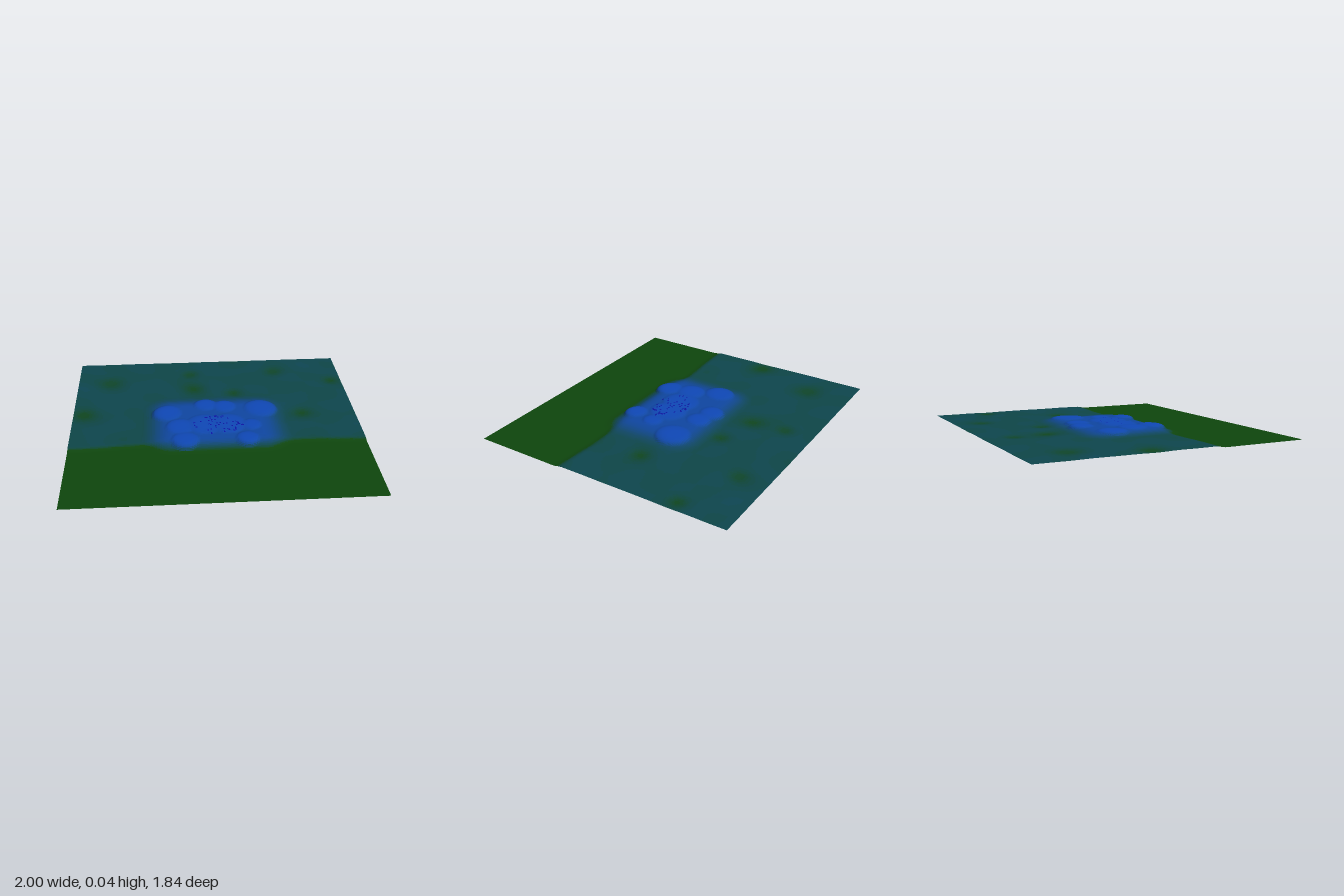
import * as THREE from 'three';

const NX = 180, NZ = 166, W = 2, D = 1.84;
const smooth = THREE.MathUtils.smoothstep;

// Rounded knolls on the hill: x, z, radius
const KNOLLS = [
  [-0.34, -0.1, 0.105], [-0.06, -0.2, 0.085], [0.07, -0.17, 0.085], [0.33, -0.13, 0.12],
  [-0.25, 0.09, 0.1], [-0.22, 0.26, 0.095], [0.2, 0.26, 0.08], [0.24, 0.09, 0.07],
  [-0.08, 0.07, 0.13], [0.08, 0.07, 0.13],
];
// Shallow hollows in the plain: x, z, radius
const HOLLOWS = [
  [-0.13, -0.48, 0.14], [-0.75, -0.62, 0.16], [0.16, -0.4, 0.1], [0.62, -0.08, 0.12],
  [-0.93, -0.15, 0.14], [0.5, -0.72, 0.12], [-0.15, -0.72, 0.1], [0.92, -0.55, 0.1],
];

function seeded(seed) {
  return () => {
    seed = (seed * 16807) % 2147483647;
    return seed / 2147483647;
  };
}

// Gentle unevenness, roughly -1 to 1
function ripple(x, z) {
  return 0.5 * Math.sin(7 * x + 3 * Math.sin(5 * z)) * Math.cos(8 * z + 2 * Math.sin(4 * x))
    + 0.3 * Math.sin(17 * x + 2 * z) * Math.sin(15 * z - 3 * x);
}

function heightAt(x, z) {
  // Low field in front, a raised plain behind a soft step
  const edge = 0.28 + 0.012 * Math.sin(6 * x + 1);
  let plain = 0.0115 + 0.0016 * ripple(x, z);
  for (const [hx, hz, r] of HOLLOWS) {
    plain -= 0.0055 * Math.exp(-((x - hx) ** 2 + (z - hz) ** 2) / (r * r * 0.4));
  }
  let h = plain * (1 - smooth(z, edge - 0.035, edge + 0.035));
  // Broad hill
  const dx = Math.max(Math.abs(x) - 0.3, 0), dz = Math.max(Math.abs(z - 0.02) - 0.19, 0);
  const fall = 1 - smooth(Math.hypot(dx, dz * 1.15), 0.0, 0.22);
  h += (0.033 - h) * fall;
  // Knolls
  const base = h;
  for (const [kx, kz, r] of KNOLLS) {
    const t = Math.hypot(x - kx, z - kz) / r;
    if (t < 1) h = Math.max(h, base + (0.042 - base) * Math.sqrt(1 - t ** 3));
  }
  return h;
}

// Colour ramp by height
const RAMP = [
  [0, 0x0e460d], [0.005, 0x0f460f], [0.0115, 0x0e464b], [0.018, 0x0f4668],
  [0.03, 0x0f469a], [0.042, 0x0f48b8],
];
function colourAt(h) {
  let i = 0;
  while (i < RAMP.length - 2 && h > RAMP[i + 1][0]) i++;
  const t = THREE.MathUtils.clamp((h - RAMP[i][0]) / (RAMP[i + 1][0] - RAMP[i][0]), 0, 1);
  return new THREE.Color(RAMP[i][1]).lerp(new THREE.Color(RAMP[i + 1][1]), t);
}

export function createModel() {
  const group = new THREE.Group();
  group.name = 'terrain';
  const ground = new THREE.PlaneGeometry(W, D, NX, NZ).rotateX(-Math.PI / 2);
  const pos = ground.attributes.position;
  for (let i = 0; i < pos.count; i++) pos.setY(i, heightAt(pos.getX(i), pos.getZ(i)));

  // Small rough bumps on the middle of the hill
  const rand = seeded(77), specks = new Set();
  for (let k = 0; k < 55; k++) {
    const a = rand() * Math.PI * 2, r = Math.sqrt(rand());
    const x = 0.01 + 0.17 * r * Math.cos(a), z = 0.08 + 0.12 * r * Math.sin(a);
    const col = Math.round((x / W + 0.5) * NX), row = Math.round((z / D + 0.5) * NZ);
    const v = row * (NX + 1) + col;
    pos.setY(v, 0.0435);
    specks.add(row * NX + col);
  }
  ground.computeVertexNormals();

  // Sort the cells into colour bands by height
  const STEP = 0.001, bands = new Map(), index = ground.index;
  for (let cell = 0; cell < NX * NZ; cell++) {
    const corners = Array.from({ length: 6 }, (_, k) => index.getX(cell * 6 + k));
    const mean = corners.reduce((s, v) => s + pos.getY(v), 0) / 6;
    const band = specks.has(cell) ? 'specks' : Math.round(mean / STEP);
    if (!bands.has(band)) bands.set(band, []);
    bands.get(band).push(...corners);
  }

  for (const [band, faces] of bands) {
    const part = ground.clone();
    part.setIndex(faces);
    const color = band === 'specks' ? new THREE.Color(0x0c14a0) : colourAt(band * STEP);
    const mesh = new THREE.Mesh(part.toNonIndexed(),
      new THREE.MeshStandardMaterial({ color, side: THREE.DoubleSide }));
    const h = band * STEP;
    mesh.name = band === 'specks' ? 'hillSpecks'
      : h < 0.005 ? 'lowField' : h < 0.016 ? 'plain' : h < 0.036 ? 'hillSlope' : 'knolls';
    group.add(mesh);
  }
  return group;
}
